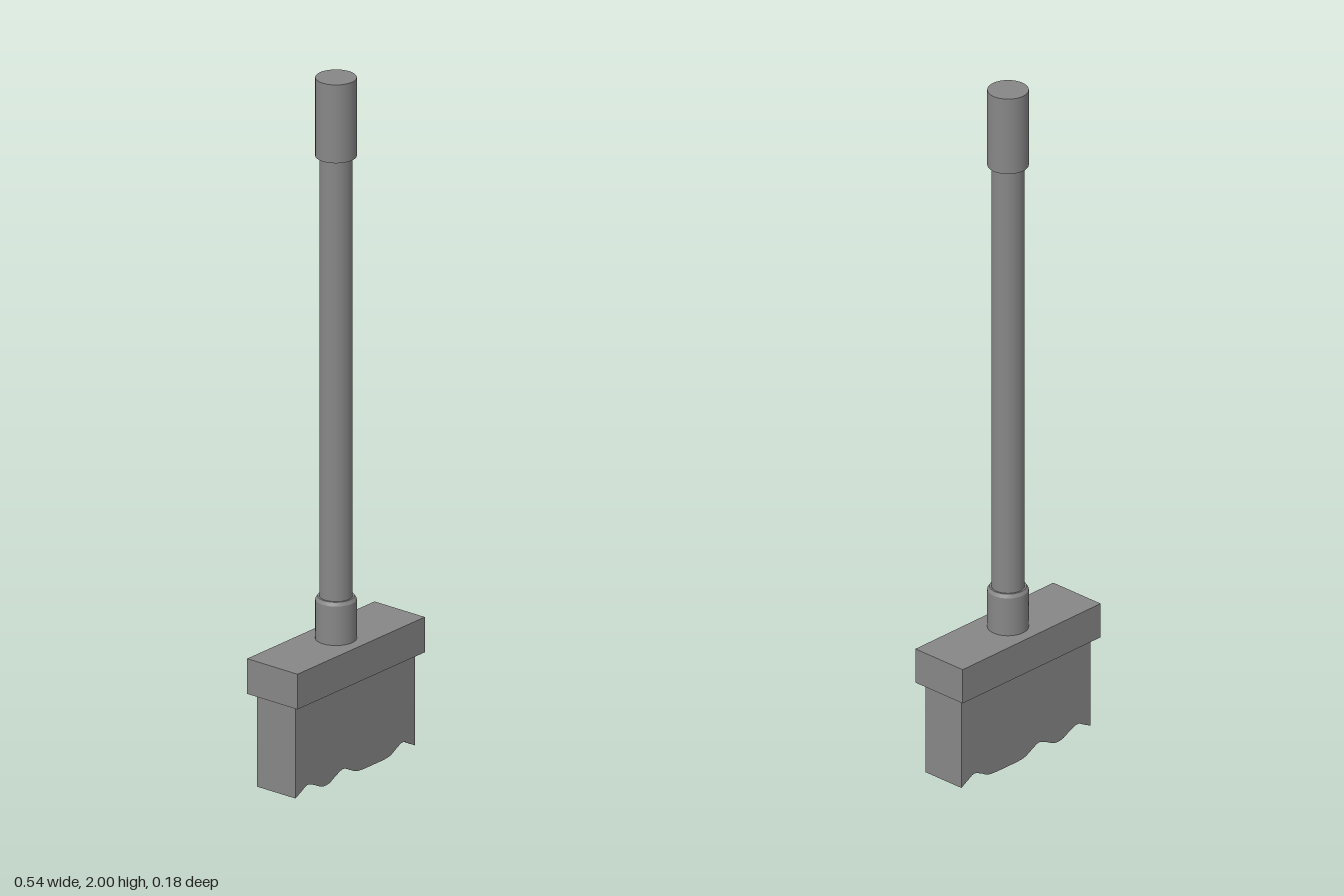
import * as THREE from 'three';

const material = new THREE.MeshStandardMaterial({ color: 0x878787 });

function add(group, name, geometry, y = 0) {
  const mesh = new THREE.Mesh(geometry, material);
  mesh.name = name;
  mesh.position.y = y;
  group.add(mesh);
}

// Solid of revolution with crisp edges between its straight profile segments
function turned(group, name, profile) {
  const part = new THREE.Group();
  part.name = name;
  for (let i = 0; i < profile.length - 1; i++) {
    const points = [profile[i], profile[i + 1]].map(([r, y]) => new THREE.Vector2(r, y));
    add(part, name + 'Band', new THREE.LatheGeometry(points, 48));
  }
  group.add(part);
}

export function createModel() {
  const group = new THREE.Group();

  // Bristle block with a worn, wavy lower edge
  const halfWidth = 0.251, depth = 0.134;
  const wave = [
    [-halfWidth, 0.004], [-0.225, 0.017], [-0.2, 0.028], [-0.17, 0.018], [-0.14, 0.004],
    [-0.11, 0.004], [-0.08, 0.018], [-0.05, 0.028], [-0.025, 0.018], [0.01, 0.003],
    [0.07, 0.001], [0.14, 0.003], [0.17, 0.016], [0.2, 0.028], [0.225, 0.017], [halfWidth, 0.003],
  ].map(([x, y]) => new THREE.Vector2(x, y));
  const outline = new THREE.Shape();
  outline.moveTo(wave[0].x, wave[0].y);
  outline.splineThru(wave.slice(1));
  outline.lineTo(halfWidth, 0.273);
  outline.lineTo(-halfWidth, 0.273);
  outline.closePath();
  const bristles = new THREE.ExtrudeGeometry(outline, { depth, bevelEnabled: false, curveSegments: 3 });
  bristles.translate(0, 0, -depth / 2);
  add(group, 'bristles', bristles);

  // Head that holds the bristles
  add(group, 'head', new THREE.BoxGeometry(0.536, 0.102, 0.176), 0.324);

  // Socket with a small bevelled rim
  turned(group, 'socket', [[0.056, 0.375], [0.056, 0.488], [0.05, 0.498], [0, 0.498]]);

  // Long handle
  add(group, 'handle', new THREE.CylinderGeometry(0.045, 0.045, 1.3, 48), 1.14);

  // Grip at the top end
  turned(group, 'grip', [[0, 1.773], [0.056, 1.773], [0.056, 2], [0, 2]]);

  return group;
}
